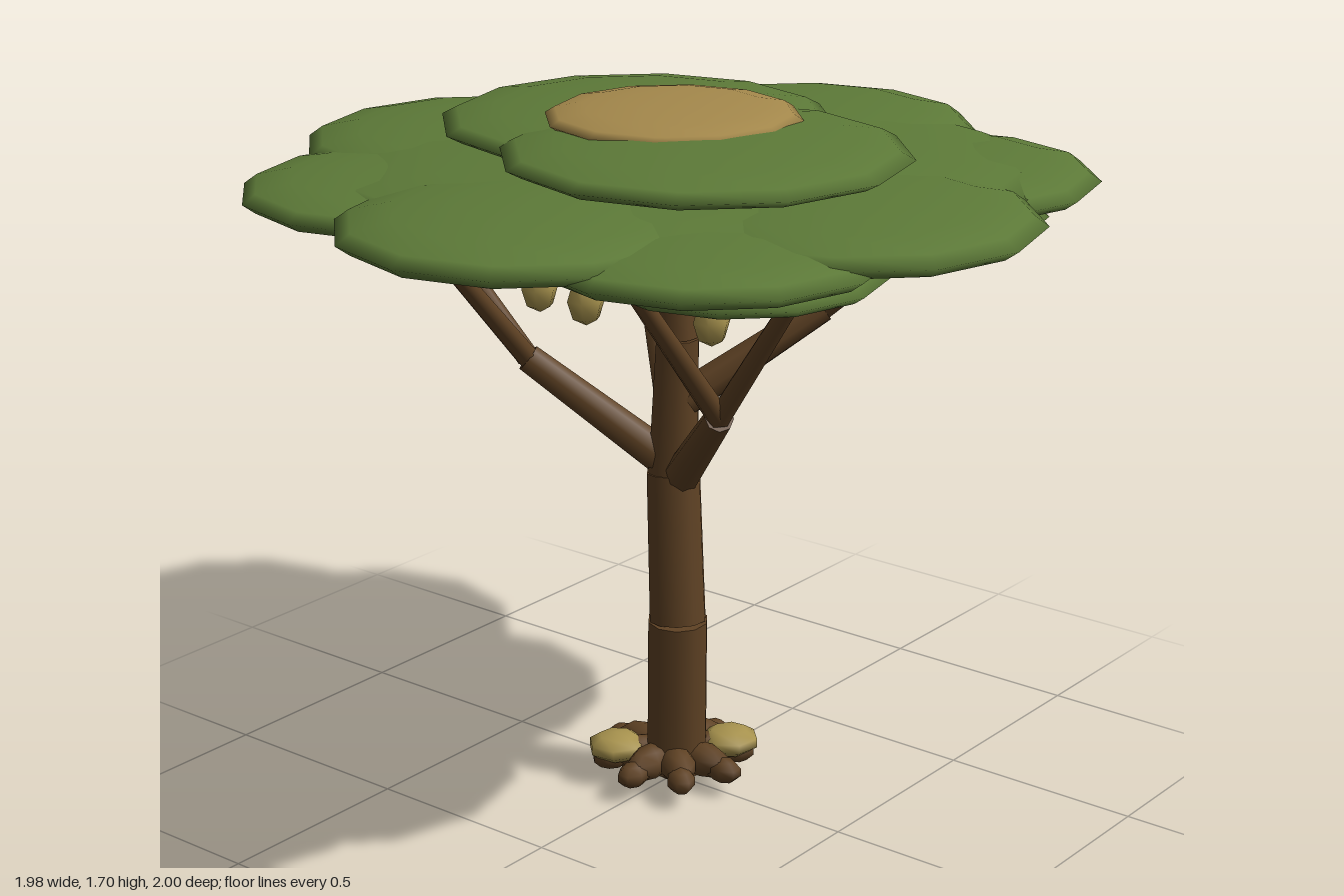
import * as THREE from 'three';

const material = (name, color) => {
  const m = new THREE.MeshStandardMaterial({ color });
  m.name = name;
  return m;
};

export function createModel() {
  const leaf = material('leaf green', 0x5d7a38);
  const bark = material('bark brown', 0x5f4224);
  const dry = material('dry leaf tan', 0xa5894c);
  const fruitTan = material('fruit tan', 0xa8934e);

  const tree = new THREE.Group();
  tree.name = 'tree';
  const group = (name) => {
    const g = new THREE.Group();
    g.name = name;
    tree.add(g);
    return g;
  };
  const add = (parent, name, geometry, mat) => {
    const mesh = new THREE.Mesh(geometry, mat);
    mesh.name = name;
    parent.add(mesh);
    return mesh;
  };

  // Tapered round limb between two points
  const limb = (parent, name, a, b, r0, r1, sides = 8) => {
    const from = new THREE.Vector3(...a), to = new THREE.Vector3(...b);
    const dir = to.clone().sub(from);
    const mesh = add(parent, name, new THREE.CylinderGeometry(r1, r0, dir.length(), sides), bark);
    mesh.position.copy(from).lerp(to, 0.5);
    mesh.quaternion.setFromUnitVectors(new THREE.Vector3(0, 1, 0), dir.normalize());
  };

  // Flattened twelve-sided ball
  const padGeometry = new THREE.SphereGeometry(1, 12, 8);
  const pad = (parent, name, x, y, z, r, h, mat = leaf) => {
    const mesh = add(parent, name, padGeometry, mat);
    mesh.position.set(x, y, z);
    mesh.scale.set(r, h, r);
  };

  // Trunk with slight bends
  const trunk = group('trunk');
  const bends = [
    [0.01, 0.03, 0, 0.075], [0.025, 0.43, 0.015, 0.07], [-0.002, 0.8, -0.002, 0.062],
    [0.012, 1.14, 0, 0.048], [0.005, 1.47, 0, 0.035],
  ];
  for (let i = 0; i < bends.length - 1; i++) {
    const a = bends[i], b = bends[i + 1];
    limb(trunk, 'trunkSection', a.slice(0, 3), b.slice(0, 3), a[3], b[3] + 0.004, 10);
  }

  // Main branches, each forking into two twigs
  const branches = group('branches');
  [
    { start: [0.02, 0.79, 0], elbow: [0.29, 1.05, 0.2], tips: [[0.58, 0.28], [0.31, 0.54]] },
    { start: [-0.01, 0.82, 0], elbow: [-0.28, 1.08, 0.2], tips: [[-0.55, 0.28], [-0.27, 0.54]] },
    { start: [0, 0.88, -0.02], elbow: [-0.27, 1.14, -0.26], tips: [[-0.54, -0.28], [-0.22, -0.54]] },
    { start: [0.03, 0.99, -0.01], elbow: [0.26, 1.2, -0.24], tips: [[0.55, -0.25], [0.24, -0.5]] },
  ].forEach(({ start, elbow, tips }) => {
    limb(branches, 'mainBranch', start, elbow, 0.045, 0.034);
    for (const [x, z] of tips) limb(branches, 'twig', elbow, [x, 1.44, z], 0.027, 0.02);
  });
  for (const s of [1, -1]) {
    limb(branches, 'centreTwig', [0.01, 1.27, 0], [0.15 * s, 1.46, 0.15 * s], 0.024, 0.018);
  }

  // Canopy: underside pads, outer ring, broad centre and upper pads
  const canopy = group('canopy');
  for (const sx of [1, -1]) {
    for (const sz of [1, -1]) {
      pad(canopy, 'lowerPad', 0.4 * sx + 0.03, 1.445, 0.32 * sz, 0.33, 0.045);
      pad(canopy, 'cornerPad', 0.425 * sx, 1.51, 0.42 * sz, 0.4, 0.058);
    }
  }
  [[0.55, 0.08], [-0.56, 0.03], [0.05, 0.56], [-0.05, -0.57]].forEach(([x, z]) =>
    pad(canopy, 'outerPad', x, 1.53, z, 0.433, 0.062));
  pad(canopy, 'centrePad', 0, 1.53, -0.03, 0.84, 0.07);
  pad(canopy, 'upperPad', -0.18, 1.615, -0.09, 0.47, 0.05);
  pad(canopy, 'upperPad', 0.175, 1.625, 0.105, 0.47, 0.05);
  pad(canopy, 'dryCrown', 0, 1.665, 0, 0.3, 0.038, dry);

  // Hanging fruits
  const fruits = group('fruits');
  const fruitGeometry = new THREE.SphereGeometry(1, 6, 4);
  [
    [0.26, 1.27, 0.19], [0.02, 1.31, 0.34], [0.27, 1.28, -0.22],
    [-0.24, 1.26, 0.2], [-0.23, 1.28, -0.22],
  ].forEach(([x, y, z]) => {
    const fruit = add(fruits, 'fruit', fruitGeometry, fruitTan);
    fruit.position.set(x, y, z);
    fruit.scale.set(0.042, 0.06, 0.048);
  });

  // Knobbly roots around the foot
  const roots = group('roots');
  const knobGeometry = new THREE.SphereGeometry(1, 7, 5);
  const knob = (name, angle, dist, y, size, mat) => {
    const mesh = add(roots, name, knobGeometry, mat);
    mesh.position.set(Math.cos(angle) * dist, y, Math.sin(angle) * dist);
    mesh.scale.set(...size);
    mesh.rotation.y = -angle;
  };
  for (let i = 0; i < 8; i++) {
    const angle = (i / 8) * Math.PI * 2;
    knob('root', angle, 0.09, 0.07, [0.085, 0.042, 0.045], bark);
    knob('rootTip', angle, 0.155, 0.06, [0.05, 0.032, 0.036], bark);
  }
  knob('rootBase', 0, 0, 0.045, [0.08, 0.045, 0.08], bark);

  // Two pale stones among the roots
  knob('stone', Math.PI * 0.75, 0.14, 0.088, [0.075, 0.036, 0.07], fruitTan);
  knob('stone', -Math.PI * 0.25, 0.14, 0.088, [0.075, 0.036, 0.07], fruitTan);

  return tree;
}
